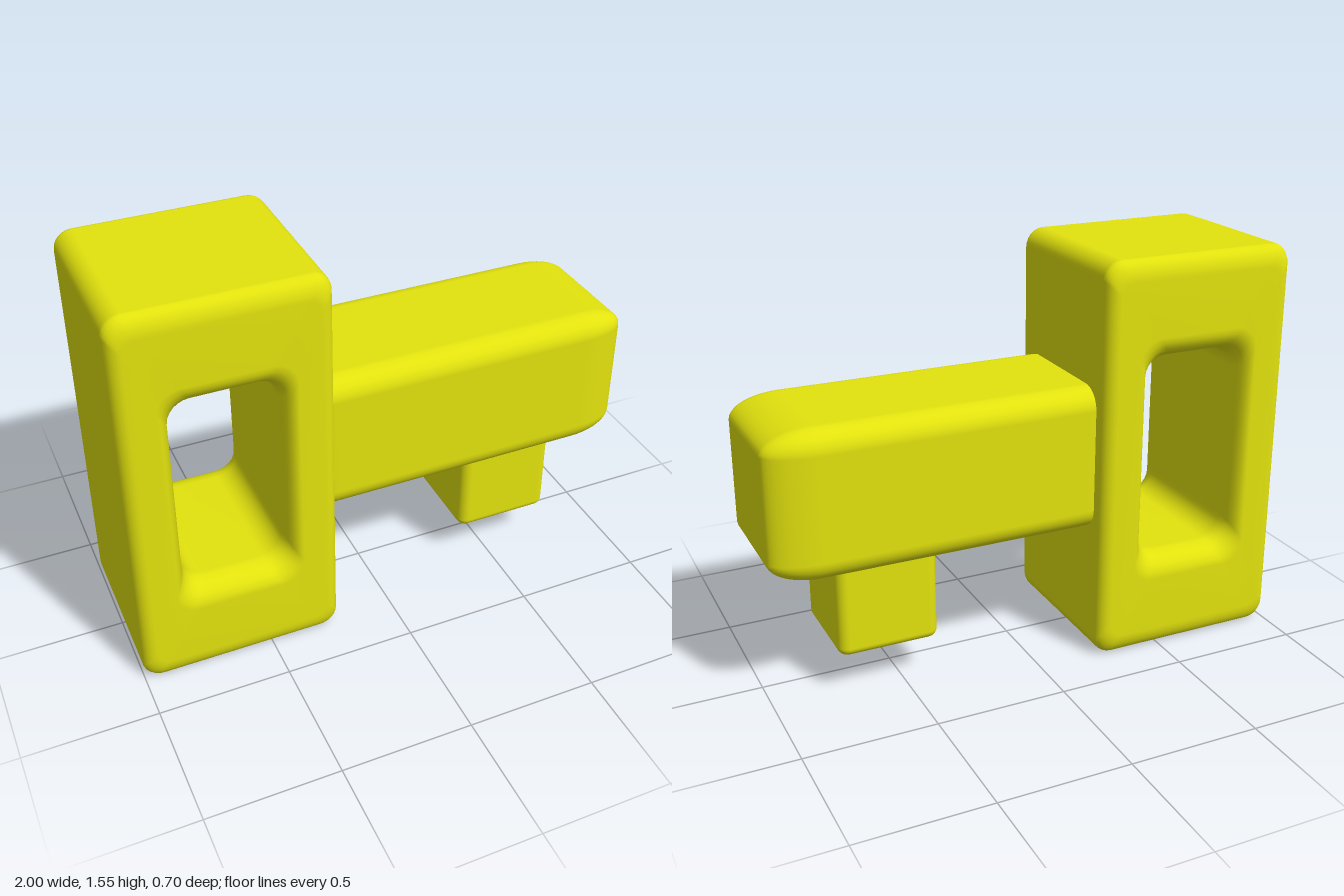
import * as THREE from 'three';
import { RoundedBoxGeometry } from 'three/addons/geometries/RoundedBoxGeometry.js';

const material = new THREE.MeshStandardMaterial({ color: 0xe2e20e });

// Box from min to max corner, edges rounded by a different radius per axis
function softBox(name, min, max, radius) {
  const size = max.map((v, i) => v - min[i]);
  const geometry = new RoundedBoxGeometry(...size.map((s, i) => s / radius[i]), 6, 1);
  geometry.scale(...radius);
  const mesh = new THREE.Mesh(geometry, material);
  mesh.name = name;
  mesh.position.set(...min.map((v, i) => (v + max[i]) / 2));
  return mesh;
}

// Rounded rectangle ring, counterclockwise, always the same point count
function ring({ w, h, r, z }) {
  const points = [];
  const corners = [[1, 1], [-1, 1], [-1, -1], [1, -1]];
  corners.forEach(([sx, sy], c) => {
    for (let k = 0; k <= 6; k++) {
      const a = (c + k / 6) * Math.PI / 2;
      points.push([sx * (w - r) + r * Math.cos(a), sy * (h - r) + r * Math.sin(a), z]);
    }
  });
  return points;
}

// Upright block with a flared window: rings run over the outside, the front,
// through the window and round the back to close on themselves
function frameGeometry() {
  const half = [];
  const steps = 6;
  for (let i = 0; i <= steps; i++) {
    const t = (i / steps) * Math.PI / 2, c = 1 - Math.cos(t);
    half.push({ w: 0.385 - 0.05 * c, h: 0.775 - 0.08 * c, r: 0.07 - 0.02 * c, z: 0.3 + 0.05 * Math.sin(t) });
  }
  for (let i = 0; i <= steps; i++) {
    const t = (i / steps) * Math.PI / 2, s = 1 - Math.sin(t);
    half.push({ w: 0.196 + 0.05 * s, h: 0.392 + 0.09 * s, r: 0.085, z: 0.25 + 0.1 * Math.cos(t) });
  }
  const back = half.map((p) => ({ ...p, z: -p.z })).reverse();
  const rings = [...half, ...back].map(ring);

  const n = rings[0].length, m = rings.length, index = [];
  for (let i = 0; i < m; i++) {
    for (let j = 0; j < n; j++) {
      const i2 = (i + 1) % m, j2 = (j + 1) % n;
      const a = i * n + j, b = i * n + j2, c = i2 * n + j, d = i2 * n + j2;
      index.push(a, b, c, b, d, c);
    }
  }
  const geometry = new THREE.BufferGeometry();
  geometry.setAttribute('position', new THREE.Float32BufferAttribute(rings.flat(2), 3));
  geometry.setIndex(index);
  geometry.computeVertexNormals();
  return geometry;
}

export function createModel() {
  const model = new THREE.Group();
  model.name = 'blockWithArm';

  const frame = new THREE.Mesh(frameGeometry(), material);
  frame.name = 'windowFrame';
  frame.position.set(-0.615, 0.775, 0);
  model.add(frame);

  // Arm starts inside the frame wall, the stub hangs below it
  model.add(softBox('arm', [-0.39, 0.512, -0.28], [1, 1.075, 0.28], [0.19, 0.085, 0.085]));
  model.add(softBox('stub', [0.365, 0.157, -0.195], [0.752, 0.62, 0.195], [0.04, 0.035, 0.04]));
  return model;
}
